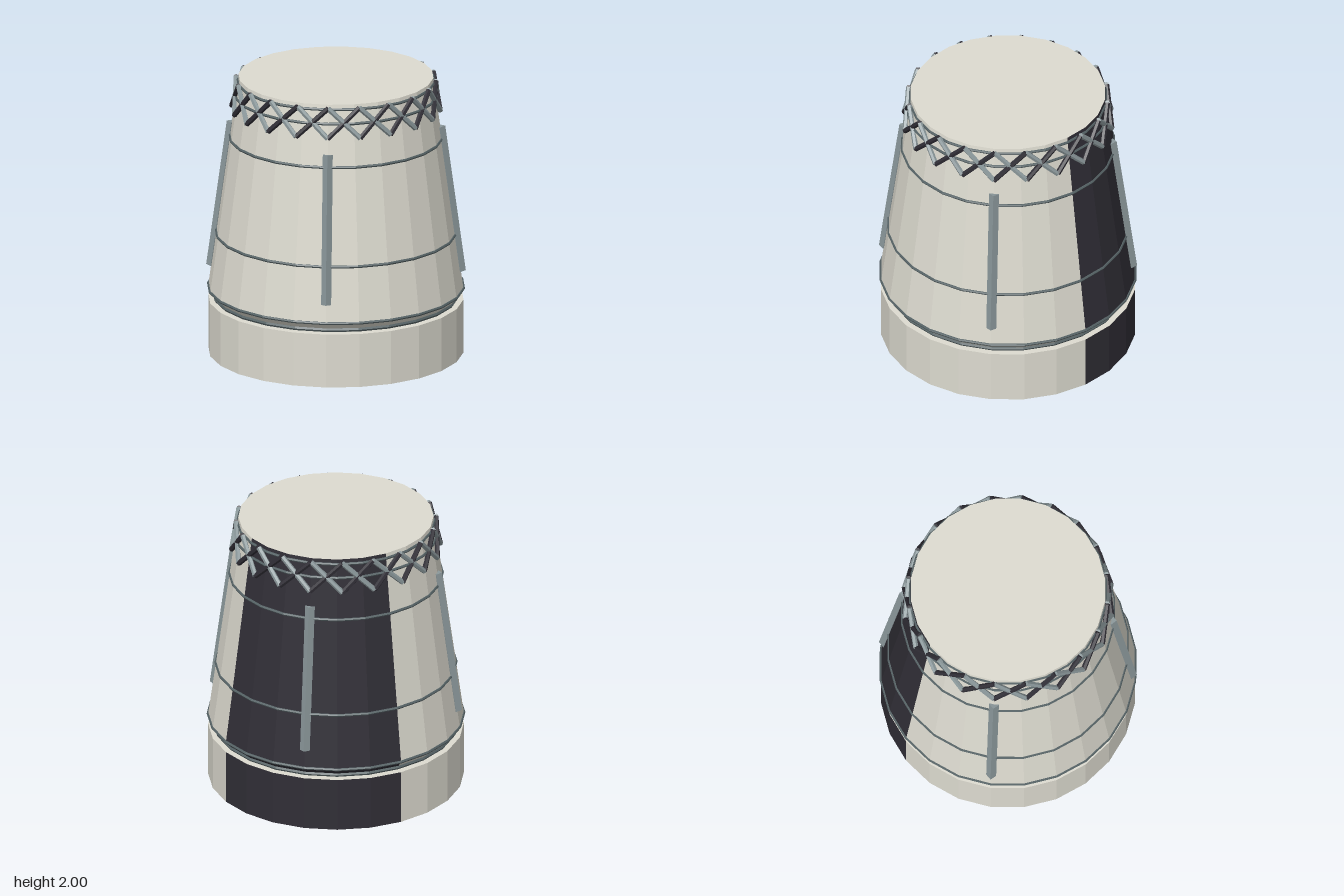
import * as THREE from 'three';

const paint = (name, color) => {
  const m = new THREE.MeshStandardMaterial({ color });
  m.name = name;
  return m;
};

export function createModel() {
  const cream = paint('cream', 0xdddbd0);
  const charcoal = paint('charcoal', 0x302e36);
  const grey = paint('steelGrey', 0x8b989b);
  const slate = paint('slate', 0x566366);
  const black = paint('black', 0x1b1b1d);
  const model = new THREE.Group();

  // Adds a mesh with faceted normals
  const add = (name, geometry, material, parent = model) => {
    const g = geometry.index ? geometry.toNonIndexed() : geometry;
    g.computeVertexNormals();
    const mesh = new THREE.Mesh(g, material);
    mesh.name = name;
    parent.add(mesh);
    return mesh;
  };

  // Radius of the sloping wall at a height
  const wallRadius = y => 0.89 - (y - 0.465) * 0.137;

  // A turned wall: cream for three quarters, charcoal for the back quarter
  const wall = (name, profile) => {
    const pts = profile.map(p => new THREE.Vector2(...p));
    add(name, new THREE.LatheGeometry(pts, 18, Math.PI * 1.25, Math.PI * 1.5), cream);
    add(name + 'BackPanel', new THREE.LatheGeometry(pts, 6, Math.PI * 0.75, Math.PI / 2), charcoal);
  };
  wall('baseWall', [[0.89, 0.004], [0.89, 0.39]]);
  wall('taperedBody', [[0.83, 0.385], [0.84, 0.41], [0.89, 0.465], [wallRadius(2), 2]]);

  // Flat closing discs
  const disc = (name, r, y, up, material, x = 0, z = 0, sides = 24) => {
    const g = new THREE.CircleGeometry(r, sides).rotateX(up ? -Math.PI / 2 : Math.PI / 2);
    add(name, g.translate(x, y, z), material);
  };
  disc('topCap', wallRadius(2), 2, true, cream);
  disc('baseTop', 0.89, 0.39, true, cream);
  disc('baseUnderside', 0.89, 0.004, false, cream);
  for (const x of [-0.355, 0.355])
    for (const z of [-0.355, 0.355]) disc('undersideOpening', 0.235, 0, false, black, x, z, 32);

  // Hoops round the body
  const hoop = (name, r, y, tube) =>
    add(name, new THREE.TorusGeometry(r, tube, 6, 24).rotateX(Math.PI / 2).translate(0, y, 0), slate);
  for (const y of [0.47, 0.865, 1.56, 1.865, 1.965]) hoop('hoop', wallRadius(y), y, 0.011);
  hoop('neckHoop', 0.845, 0.41, 0.015);

  // A straight bar between two points
  const bar = (name, a, b, r, sides, material, parent) => {
    const dir = b.clone().sub(a);
    const mesh = add(name, new THREE.CylinderGeometry(r, r, dir.length(), sides), material, parent);
    mesh.position.copy(a).add(b).multiplyScalar(0.5);
    mesh.quaternion.setFromUnitVectors(new THREE.Vector3(0, 1, 0), dir.normalize());
  };

  // Four upright ribs following the slope
  for (let i = 0; i < 4; i++) {
    const rib = new THREE.Group();
    rib.name = 'uprightRib';
    rib.rotation.y = i * Math.PI / 2;
    bar('ribBar', new THREE.Vector3(0, 0.6, wallRadius(0.6)),
      new THREE.Vector3(0, 1.65, wallRadius(1.65)), 0.035, 4, grey, rib);
    model.add(rib);
  }

  // Criss-cross lattice below the rim
  const lattice = new THREE.Group();
  lattice.name = 'rimLattice';
  model.add(lattice);
  const count = 20;
  const node = (k, r, y) => {
    const t = k * Math.PI * 2 / count;
    return new THREE.Vector3(r * Math.sin(t), y, r * Math.cos(t));
  };
  for (let k = 0; k < count; k++) {
    bar('risingBar', node(k, 0.728, 1.765), node(k + 1, 0.697, 1.977), 0.019, 6, charcoal, lattice);
    bar('fallingBar', node(k + 1, 0.728, 1.765), node(k, 0.697, 1.977), 0.019, 6, grey, lattice);
  }
  return model;
}
